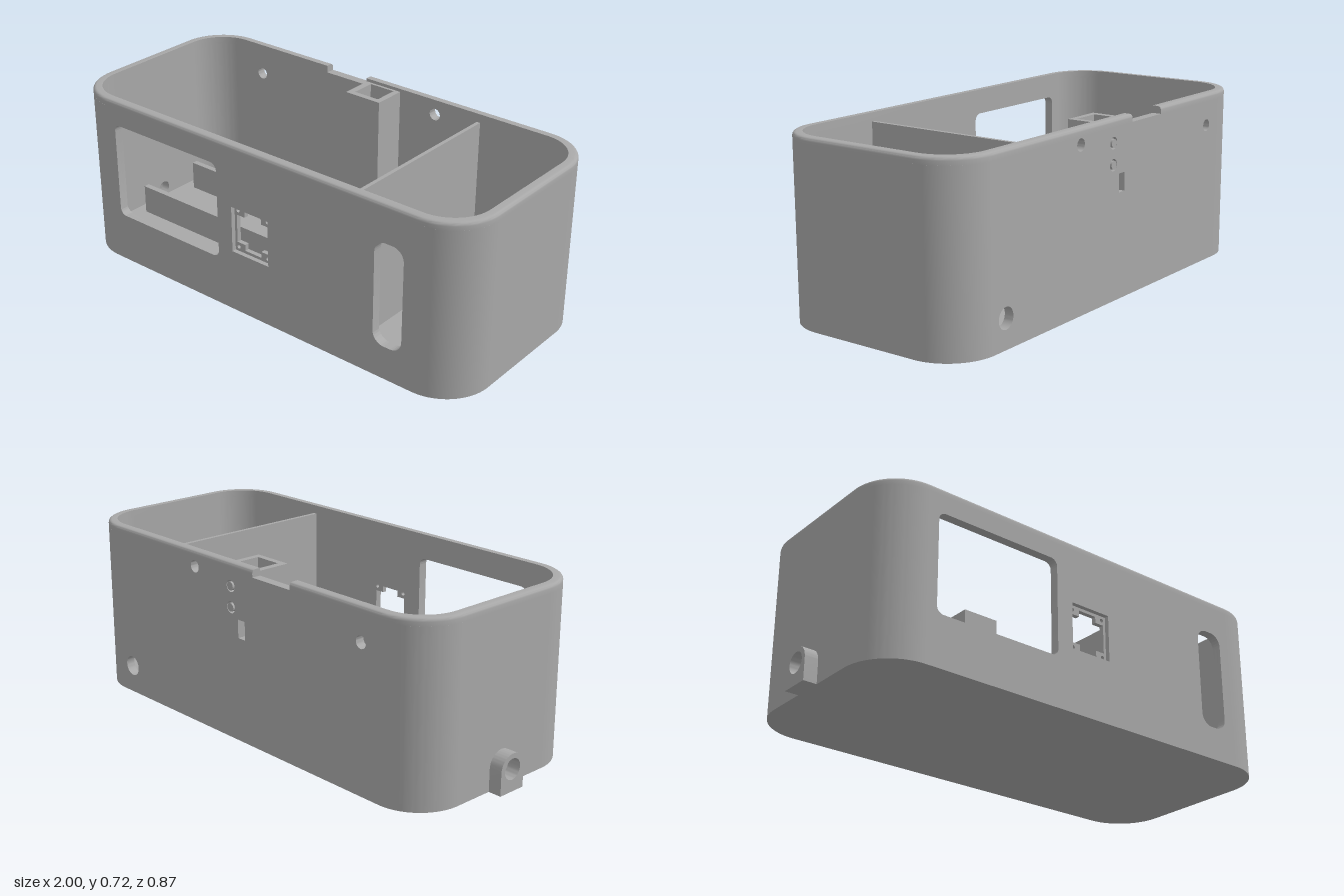
import * as THREE from 'three';
import { toCreasedNormals } from 'three/addons/utils/BufferGeometryUtils.js';

const X0 = -0.945, X1 = 1.0, Z = 0.435, R = 0.2, T = 0.038; // outer footprint, corner radius, wall
const H = 0.723, WALL_H = 0.693, FLOOR = 0.055;
const CX0 = X0 + R, CX1 = X1 - R, CZ = Z - R; // corner centres

const rect = (x0, y0, x1, y1, r = 0, C = THREE.Path) => {
  const p = new C();
  if (!r) {
    p.moveTo(x0, y0).lineTo(x1, y0).lineTo(x1, y1).lineTo(x0, y1).closePath();
    return p;
  }
  p.absarc(x1 - r, y1 - r, r, 0, Math.PI / 2);
  p.absarc(x0 + r, y1 - r, r, Math.PI / 2, Math.PI);
  p.absarc(x0 + r, y0 + r, r, Math.PI, Math.PI * 1.5);
  p.absarc(x1 - r, y0 + r, r, Math.PI * 1.5, Math.PI * 2);
  p.closePath();
  return p;
};

const circle = (x, y, r) => new THREE.Path().absarc(x, y, r, 0, Math.PI * 2);

const extrude = (shape, depth, holes = []) => {
  shape.holes.push(...holes);
  return toCreasedNormals(
    new THREE.ExtrudeGeometry(shape, { depth, bevelEnabled: false, curveSegments: 16 }), 0.5);
};

// Top rim swept round the wall with a softened outer edge and a gap at the back
function rimGeometry(gap0, gap1) {
  const f = 0.014, profile = [[0, WALL_H]];
  for (let i = 0; i <= 4; i++) {
    const a = (i / 4) * Math.PI / 2;
    profile.push([f - f * Math.cos(a), H - f + f * Math.sin(a)]);
  }
  profile.push([T, H], [T, WALL_H]);

  const path = [[gap0, -CZ, 270]];
  [[CX0, -CZ, 270], [CX0, CZ, 180], [CX1, CZ, 90], [CX1, -CZ, 0]].forEach(([x, z, a]) => {
    for (let i = 0; i <= 16; i++) path.push([x, z, a - (i / 16) * 90]);
  });
  path.push([gap1, -CZ, -90]);

  const pos = [], idx = [], n = profile.length, last = (path.length - 1) * n;
  path.forEach(([x, z, deg], i) => {
    const a = THREE.MathUtils.degToRad(deg);
    profile.forEach(([inset, y], j) => {
      pos.push(x + Math.cos(a) * (R - inset), y, z + Math.sin(a) * (R - inset));
      if (i === path.length - 1) return;
      const p = i * n + j, q = i * n + (j + 1) % n;
      idx.push(p, p + n, q + n, p, q + n, q);
    });
  });
  for (let j = 1; j < n - 1; j++) {
    idx.push(0, j, j + 1, last, last + j + 1, last + j);
  }
  const g = new THREE.BufferGeometry();
  g.setAttribute('position', new THREE.Float32BufferAttribute(pos, 3));
  g.setIndex(idx);
  return toCreasedNormals(g, 0.5);
}

export function createModel() {
  const model = new THREE.Group();
  model.name = 'enclosure';
  const grey = new THREE.MeshStandardMaterial({ color: 0xa8a8a8 });
  grey.name = 'grey plastic';

  const add = (name, geometry, x = 0, y = 0, z = 0) => {
    const mesh = new THREE.Mesh(geometry, grey);
    mesh.name = name;
    mesh.position.set(x, y, z);
    model.add(mesh);
    return mesh;
  };
  const block = (name, x0, x1, y0, y1, z0, z1) =>
    add(name, new THREE.BoxGeometry(x1 - x0, y1 - y0, z1 - z0),
      (x0 + x1) / 2, (y0 + y1) / 2, (z0 + z1) / 2);
  const longWall = () => rect(CX0, 0, CX1, WALL_H, 0, THREE.Shape);
  const endWall = () => rect(-CZ, 0, CZ, WALL_H, 0, THREE.Shape);

  // Front wall in two layers: the socket is a square recess outside and a cross inside
  const openings = () => [
    rect(-0.705, 0.21, -0.145, 0.62, 0.03),
    rect(0.62, 0.14, 0.75, 0.57, 0.05),
  ];
  const sx = 0.022, sy = 0.363;
  const cross = new THREE.Path([
    [-0.082, -0.06], [-0.042, -0.06], [-0.042, -0.086], [0.042, -0.086], [0.042, -0.06], [0.082, -0.06],
    [0.082, 0.06], [0.042, 0.06], [0.042, 0.086], [-0.042, 0.086], [-0.042, 0.06], [-0.082, 0.06],
  ].map(([x, y]) => new THREE.Vector2(sx + x, sy + y)));
  const pinHoles = [];
  for (const i of [-1, 1]) for (const j of [-1, 1]) {
    pinHoles.push(circle(sx + i * 0.075, sy + j * 0.08, 0.008));
  }
  add('frontWallOuter', extrude(longWall(), T / 2,
    [...openings(), rect(sx - 0.093, sy - 0.098, sx + 0.093, sy + 0.098)]), 0, 0, Z - T / 2);
  add('frontWallInner', extrude(longWall(), T / 2, [...openings(), cross, ...pinHoles]), 0, 0, Z - T);

  // Back wall with screw holes, cable hole, small slot and button holes
  const buttons = [[0.06, 0.63], [0.06, 0.545]];
  add('backWall', extrude(longWall(), T, [
    circle(-0.65, 0.59, 0.025), circle(0.28, 0.66, 0.025), circle(0.735, 0.118, 0.042),
    rect(-0.02, 0.43, 0.02, 0.505),
    ...buttons.map(([x, y]) => circle(x, y, 0.024)),
  ]), 0, 0, -Z);
  buttons.forEach(([x, y]) => {
    const pin = new THREE.CylinderGeometry(0.017, 0.017, T, 20).rotateX(Math.PI / 2);
    add('button', pin, x, y, -Z + T / 2 - 0.003);
  });

  // End walls
  add('rightEndWall', extrude(endWall(), T, [circle(0.005, 0.09, 0.03)]).rotateY(Math.PI / 2), X0);
  add('leftEndWall', extrude(endWall(), T).rotateY(Math.PI / 2), X1 - T);

  // Rounded corners
  [[CX1, CZ], [CX0, CZ], [CX0, -CZ], [CX1, -CZ]].forEach(([x, y], k) => {
    const a = k * Math.PI / 2, s = new THREE.Shape();
    s.absarc(x, y, R, a, a + Math.PI / 2, false);
    s.absarc(x, y, R - T, a + Math.PI / 2, a, true);
    s.closePath();
    add('cornerWall', extrude(s, WALL_H).rotateX(-Math.PI / 2));
  });
  add('rim', rimGeometry(-0.28, -0.07));

  // Floor
  const floor = rect(X0 + T, -Z + T, X1 - T, Z - T, R - T, THREE.Shape);
  add('floor', extrude(floor, FLOOR).rotateX(-Math.PI / 2));

  // Cable lug on the end wall, with a wider bore than the hole behind it
  const lug = new THREE.Shape();
  lug.moveTo(-0.057, 0).lineTo(0.067, 0).lineTo(0.067, 0.09);
  lug.absarc(0.005, 0.09, 0.062, 0, Math.PI).closePath();
  add('cableLug', extrude(lug, X0 + 1, [circle(0.005, 0.09, 0.042)]).rotateY(Math.PI / 2), -1);

  // Inner divider, its foot, and the floor ribs
  block('divider', 0.481, 0.497, FLOOR, 0.687, -Z + T, Z - T);
  block('dividerFoot', 0.449, 0.481, FLOOR, 0.18, -Z + T, Z - T);
  for (const z of [-0.153, 0.147]) {
    block('floorRib', -0.855, 0.449, FLOOR, 0.18, z - 0.0125, z + 0.0125);
  }

  // Hollow post against the back wall
  const post = rect(-0.065, 0.255, 0.105, Z - T, 0, THREE.Shape);
  add('hollowPost', extrude(post, 0.71 - FLOOR, [rect(-0.037, 0.28, 0.08, 0.385)])
    .rotateX(-Math.PI / 2), 0, FLOOR);

  return model;
}
